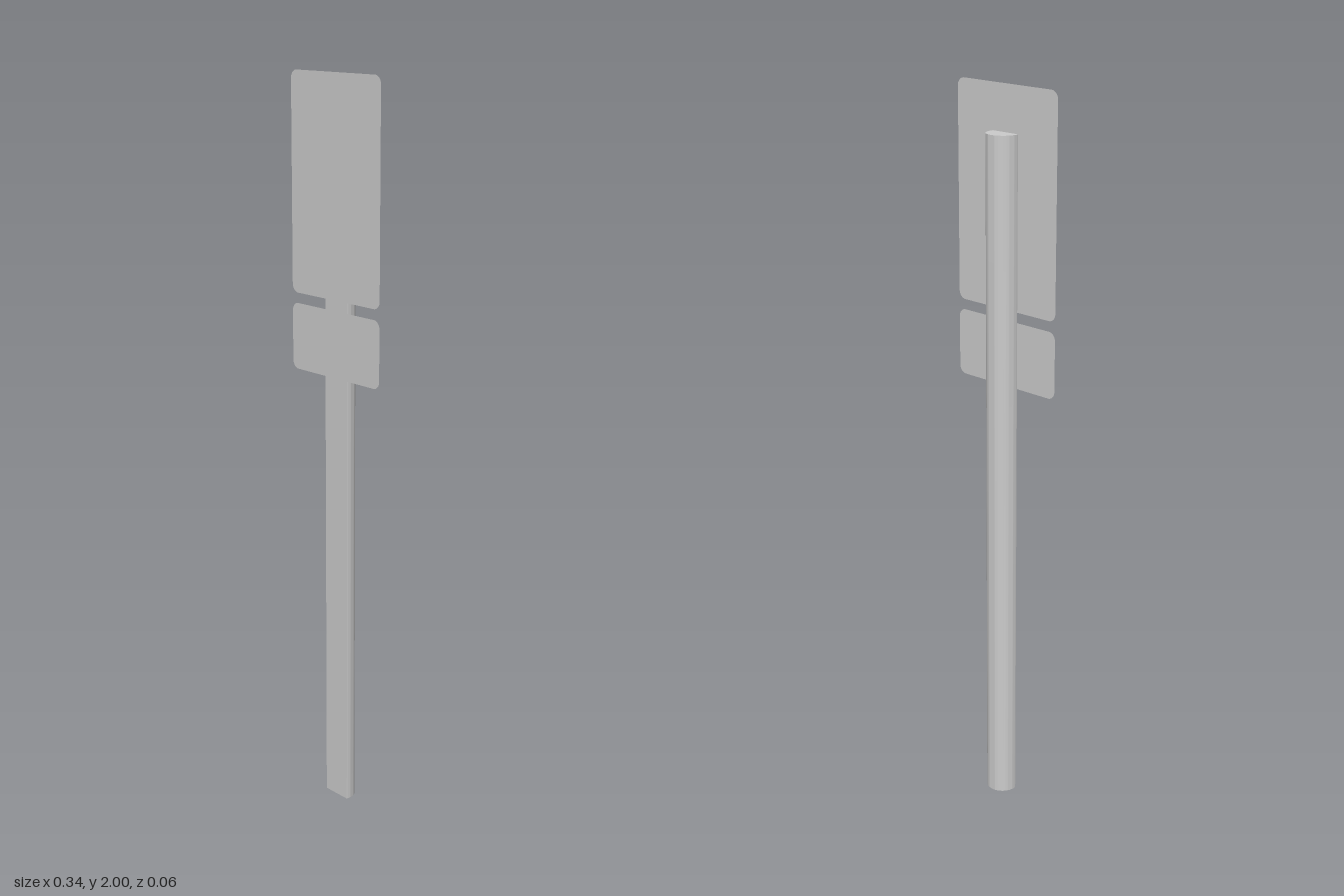
import * as THREE from 'three';
import { toCreasedNormals } from 'three/addons/utils/BufferGeometryUtils.js';

const grey = new THREE.MeshStandardMaterial({ color: 0xcccccc });
const thinGrey = new THREE.MeshStandardMaterial({ color: 0xcccccc, side: THREE.DoubleSide });

// Thin flat plate with rounded corners, spanning y0 to y1
function plate(name, y0, y1, halfWidth = 0.172, r = 0.022) {
  const shape = new THREE.Shape();
  shape.absarc(halfWidth - r, y1 - r, r, 0, Math.PI / 2);
  shape.absarc(-halfWidth + r, y1 - r, r, Math.PI / 2, Math.PI);
  shape.absarc(-halfWidth + r, y0 + r, r, Math.PI, Math.PI * 1.5);
  shape.absarc(halfWidth - r, y0 + r, r, Math.PI * 1.5, Math.PI * 2);
  shape.closePath();
  const mesh = new THREE.Mesh(new THREE.ShapeGeometry(shape, 8), thinGrey);
  mesh.name = name;
  mesh.position.z = 0.028;
  return mesh;
}

// Post with a round back and a flat front face
function post(height) {
  const radius = 0.044, centreZ = 0.0155, flatZ = 0.024;
  const a = Math.asin((centreZ - flatZ) / radius);
  const profile = new THREE.Shape();
  profile.absarc(0, -centreZ, radius, a, Math.PI - a);
  profile.closePath();
  const geometry = new THREE.ExtrudeGeometry(profile, { depth: height, bevelEnabled: false, curveSegments: 32 });
  geometry.rotateX(-Math.PI / 2);
  const mesh = new THREE.Mesh(toCreasedNormals(geometry, 0.6), grey);
  mesh.name = 'post';
  return mesh;
}

export function createModel() {
  const group = new THREE.Group();
  group.name = 'signpost';
  group.add(post(1.88), plate('upperSign', 1.42, 2), plate('lowerSign', 1.212, 1.392));
  return group;
}
